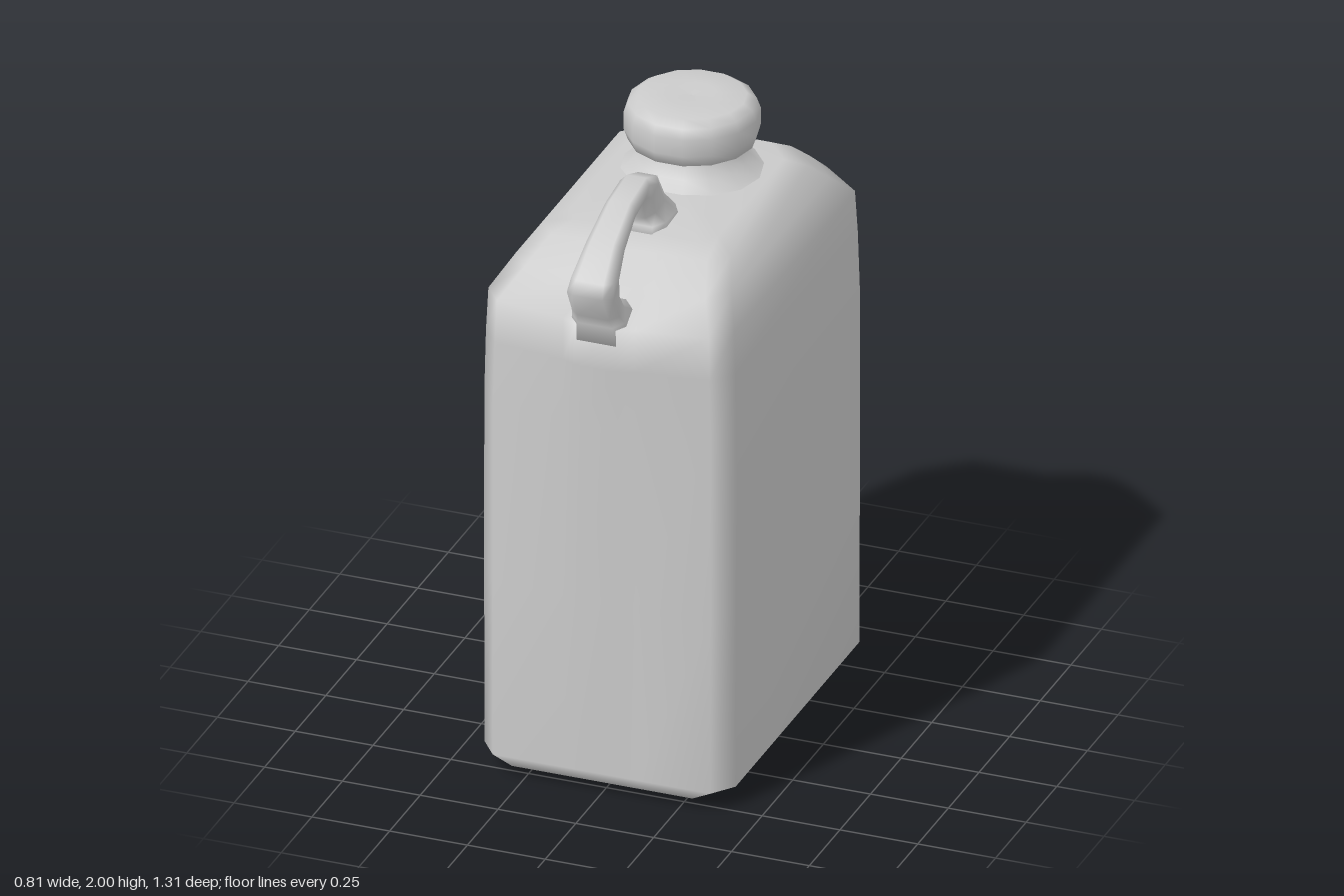
import * as THREE from 'three';

const material = new THREE.MeshStandardMaterial({ color: 0xcccccc });

// Closed skin over a list of rings (arrays of [x, y, z], anticlockwise seen from the end), with smooth normals
function loft(name, rings, startCentre, endCentre) {
  const n = rings[0].length;
  const index = [];
  const first = rings.length * n;
  for (let r = 0; r < rings.length - 1; r++) {
    for (let i = 0; i < n; i++) {
      const a = r * n + i, b = r * n + (i + 1) % n;
      index.push(a, b, b + n, a, b + n, a + n);
    }
  }
  for (let i = 0; i < n; i++) {
    const j = (i + 1) % n, top = (rings.length - 1) * n;
    index.push(first, j, i, first + 1, top + i, top + j);
  }
  const points = [...rings.flat(), startCentre, endCentre];
  const geometry = new THREE.BufferGeometry();
  geometry.setAttribute('position', new THREE.Float32BufferAttribute(points.flat(), 3));
  geometry.setIndex(index);
  geometry.computeVertexNormals();
  const mesh = new THREE.Mesh(geometry, material);
  mesh.name = name;
  return mesh;
}

// Chamfered rectangle with a bulge in the middle of the front
function bodyRing({ y, w, front, back, bulge = 0, fx, fz, bx, bz }) {
  const half = [
    [0.065, front + bulge], [0.115, front + bulge * 0.6], [fx, front],
    [w, front - fz], [w, back + bz], [bx, back],
  ];
  const mirrored = half.map(([x, z]) => [-x, z]).reverse();
  return [...half, ...mirrored].map(([x, z]) => [x, y, z]);
}

function makeBody() {
  const rings = [
    { y: 0.003, w: 0.26, front: 0.47, back: -0.61, fx: 0.22, fz: 0.06, bx: 0.18, bz: 0.08 },
    { y: 0.035, w: 0.34, front: 0.535, back: -0.635, fx: 0.29, fz: 0.07, bx: 0.23, bz: 0.1 },
    { y: 0.065, w: 0.403, front: 0.54, back: -0.655, fx: 0.35, fz: 0.07, bx: 0.27, bz: 0.115 },
    { y: 0.65, w: 0.405, front: 0.54, back: -0.655, bulge: 0.018, fx: 0.35, fz: 0.07, bx: 0.27, bz: 0.115 },
    { y: 1.25, w: 0.405, front: 0.538, back: -0.655, bulge: 0.035, fx: 0.35, fz: 0.07, bx: 0.27, bz: 0.115 },
    { y: 1.45, w: 0.401, front: 0.535, back: -0.648, bulge: 0.047, fx: 0.345, fz: 0.07, bx: 0.265, bz: 0.115 },
    { y: 1.59, w: 0.395, front: 0.53, back: -0.64, bulge: 0.055, fx: 0.34, fz: 0.07, bx: 0.26, bz: 0.115 },
    { y: 1.667, w: 0.347, front: 0.43, back: -0.55, fx: 0.29, fz: 0.07, bx: 0.24, bz: 0.11 },
    { y: 1.73, w: 0.302, front: 0.32, back: -0.475, fx: 0.25, fz: 0.07, bx: 0.21, bz: 0.1 },
    { y: 1.756, w: 0.24, front: 0.25, back: -0.43, fx: 0.2, fz: 0.06, bx: 0.16, bz: 0.09 },
  ].map(bodyRing);
  return loft('body', rings, [0, 0, -0.06], [0, 1.765, -0.08]);
}

// Handle stations: outer edge (z, y), inner edge (z, y), half width
function makeHandle() {
  const stations = [
    [0.583, 1.53, 0.44, 1.57, 0.1],
    [0.592, 1.6, 0.48, 1.645, 0.085],
    [0.61, 1.635, 0.525, 1.66, 0.077],
    [0.657, 1.724, 0.562, 1.705, 0.075],
    [0.637, 1.765, 0.546, 1.755, 0.068],
    [0.536, 1.85, 0.48, 1.805, 0.056],
    [0.39, 1.92, 0.385, 1.86, 0.048],
    [0.255, 1.94, 0.31, 1.88, 0.047],
    [0.164, 1.905, 0.28, 1.865, 0.047],
    [0.11, 1.82, 0.264, 1.81, 0.05],
    [0.06, 1.766, 0.24, 1.77, 0.07],
    [0.03, 1.73, 0.28, 1.73, 0.09],
  ];
  // Eight-sided section: [fraction of half width, fraction from outer to inner edge]
  const section = [[0.65, 0], [1, 0.25], [1, 0.75], [0.65, 1], [-0.65, 1], [-1, 0.75], [-1, 0.25], [-0.65, 0]];
  const rings = stations.map(([oz, oy, iz, iy, w]) =>
    section.map(([u, v]) => [u * w, oy + (iy - oy) * v, oz + (iz - oz) * v]));
  return loft('handle', rings, [0, 1.55, 0.51], [0, 1.73, 0.15]);
}

function lathe(name, profile) {
  const points = profile.map(([r, y]) => new THREE.Vector2(r, y));
  const mesh = new THREE.Mesh(new THREE.LatheGeometry(points, 14, Math.PI / 14), material);
  mesh.name = name;
  mesh.position.z = -0.2;
  return mesh;
}

export function createModel() {
  const group = new THREE.Group();
  group.name = 'jerrycan';
  group.add(makeBody(), makeHandle());
  // Flared neck under the cap
  group.add(lathe('neck', [[0.24, 1.745], [0.205, 1.763], [0.172, 1.795], [0.15, 1.822], [0.142, 1.85]]));
  // Rounded screw cap
  group.add(lathe('cap', [
    [0, 1.84], [0.16, 1.84], [0.193, 1.853], [0.206, 1.89], [0.206, 1.945],
    [0.194, 1.977], [0.165, 1.996], [0.08, 2], [0, 1.995],
  ]));
  return group;
}
